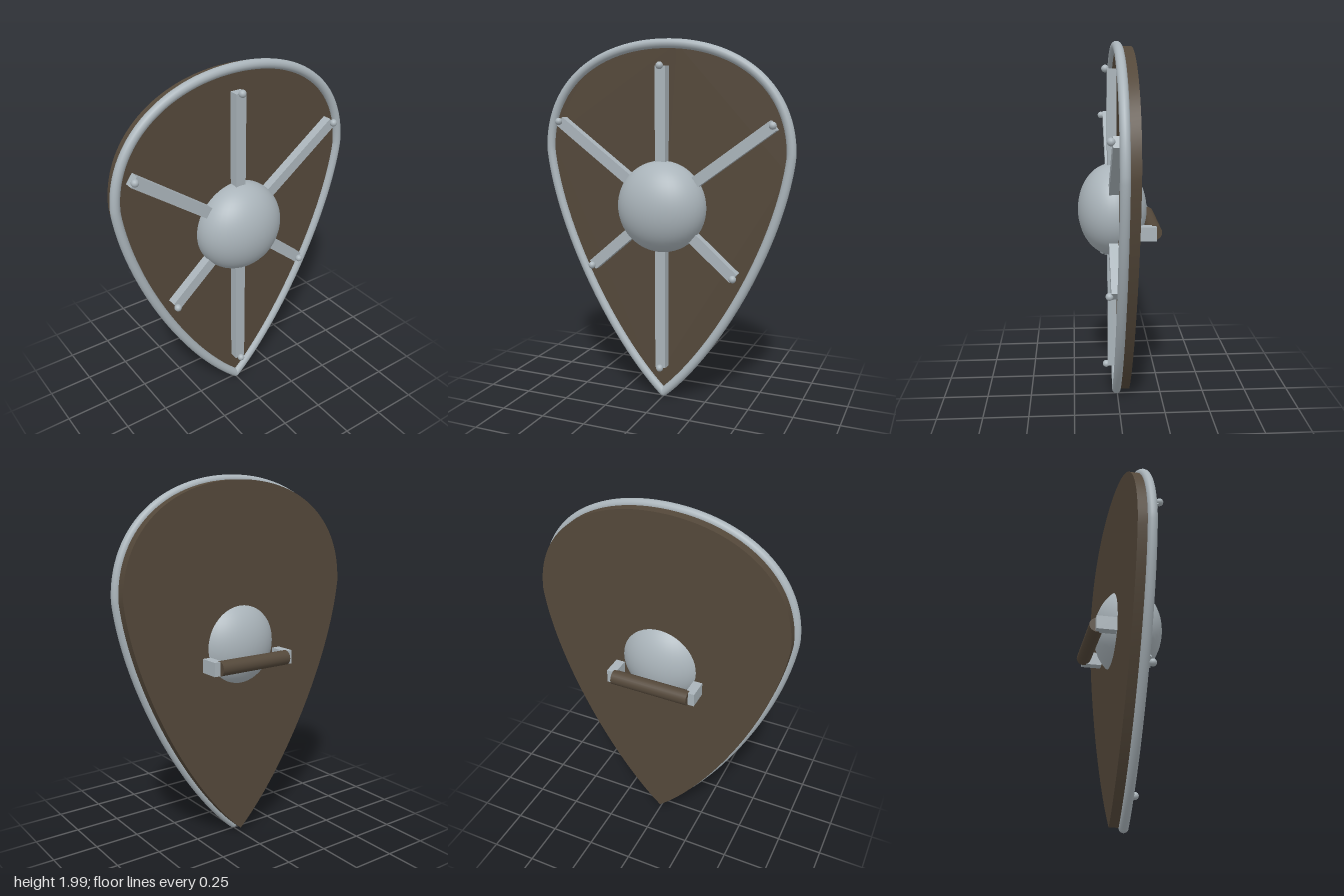
import * as THREE from 'three';
import { toCreasedNormals } from 'three/addons/utils/BufferGeometryUtils.js';

const steel = new THREE.MeshStandardMaterial({ color: 0xaab4ba });
steel.name = 'steel';
const wood = new THREE.MeshStandardMaterial({ color: 0x54483a });
wood.name = 'wood';

const CENTER_Y = 1.11;
const FACE_Z = 0.005;

// Teardrop outline: tip, right flank, top arc, left flank, tip
const TIP = [0, 0.032];
const OUTLINE = [
  [0.3, 0.3, 0.65, 0.93, 0.698, 1.4],
  [0.698, 1.76, 0.4, 1.975, 0, 1.975],
  [-0.4, 1.975, -0.698, 1.76, -0.698, 1.4],
  [-0.65, 0.93, -0.3, 0.3, ...TIP],
];

export function createModel() {
  const model = new THREE.Group();
  model.name = 'shield';

  function add(name, geometry, material, x = 0, y = 0, z = 0) {
    const mesh = new THREE.Mesh(geometry, material);
    mesh.name = name;
    mesh.position.set(x, y, z);
    model.add(mesh);
    return mesh;
  }

  // Wooden board
  const shape = new THREE.Shape();
  shape.moveTo(...TIP);
  OUTLINE.forEach((c) => shape.bezierCurveTo(...c));
  const board = new THREE.ExtrudeGeometry(shape, { depth: 0.075, bevelEnabled: false, curveSegments: 32 });
  add('board', toCreasedNormals(board, 0.5), wood, 0, 0, FACE_Z - 0.075);

  // Round metal rim, closed by a ball at the tip
  const path = new THREE.CurvePath();
  let start = TIP;
  for (const c of OUTLINE) {
    const points = [start, c.slice(0, 2), c.slice(2, 4), c.slice(4)];
    path.add(new THREE.CubicBezierCurve3(...points.map(([x, y]) => new THREE.Vector3(x, y, 0))));
    start = c.slice(4);
  }
  add('rim', new THREE.TubeGeometry(path, 160, 0.025, 16), steel, 0, 0, FACE_Z);
  add('rimTip', new THREE.SphereGeometry(0.025, 16, 12), steel, TIP[0], TIP[1], FACE_Z);

  // Central boss, showing through on the back
  add('boss', new THREE.SphereGeometry(0.25, 40, 28), steel, 0, CENTER_Y, 0.028).scale.z = 0.75;

  // Radiating straps, each with a rivet at its outer end
  const rivets = [[0, 1.86], [0.612, 1.56], [-0.612, 1.56], [0.417, 0.752], [-0.417, 0.752], [0, 0.195]];
  for (const [x, y] of rivets) {
    const dx = x, dy = y - CENTER_Y;
    const reach = Math.hypot(dx, dy);
    const inner = 0.245;
    const mid = (reach + inner) / 2 / reach;
    const strap = add('strap', new THREE.BoxGeometry(reach - inner, 0.06, 0.05), steel,
      dx * mid, CENTER_Y + dy * mid, FACE_Z + 0.025);
    strap.rotation.z = Math.atan2(dy, dx);
    add('rivet', new THREE.SphereGeometry(0.02, 16, 12), steel, x, y, 0.064);
  }

  // Rear grip between two brackets
  const grip = add('grip', new THREE.CylinderGeometry(0.04, 0.04, 0.44, 24), wood, 0, 1.03, -0.182);
  grip.rotation.z = Math.PI / 2;
  for (const side of [-1, 1]) {
    add('gripBracket', new THREE.BoxGeometry(0.05, 0.075, 0.11), steel, side * 0.23, 1.03, -0.135);
  }

  return model;
}
